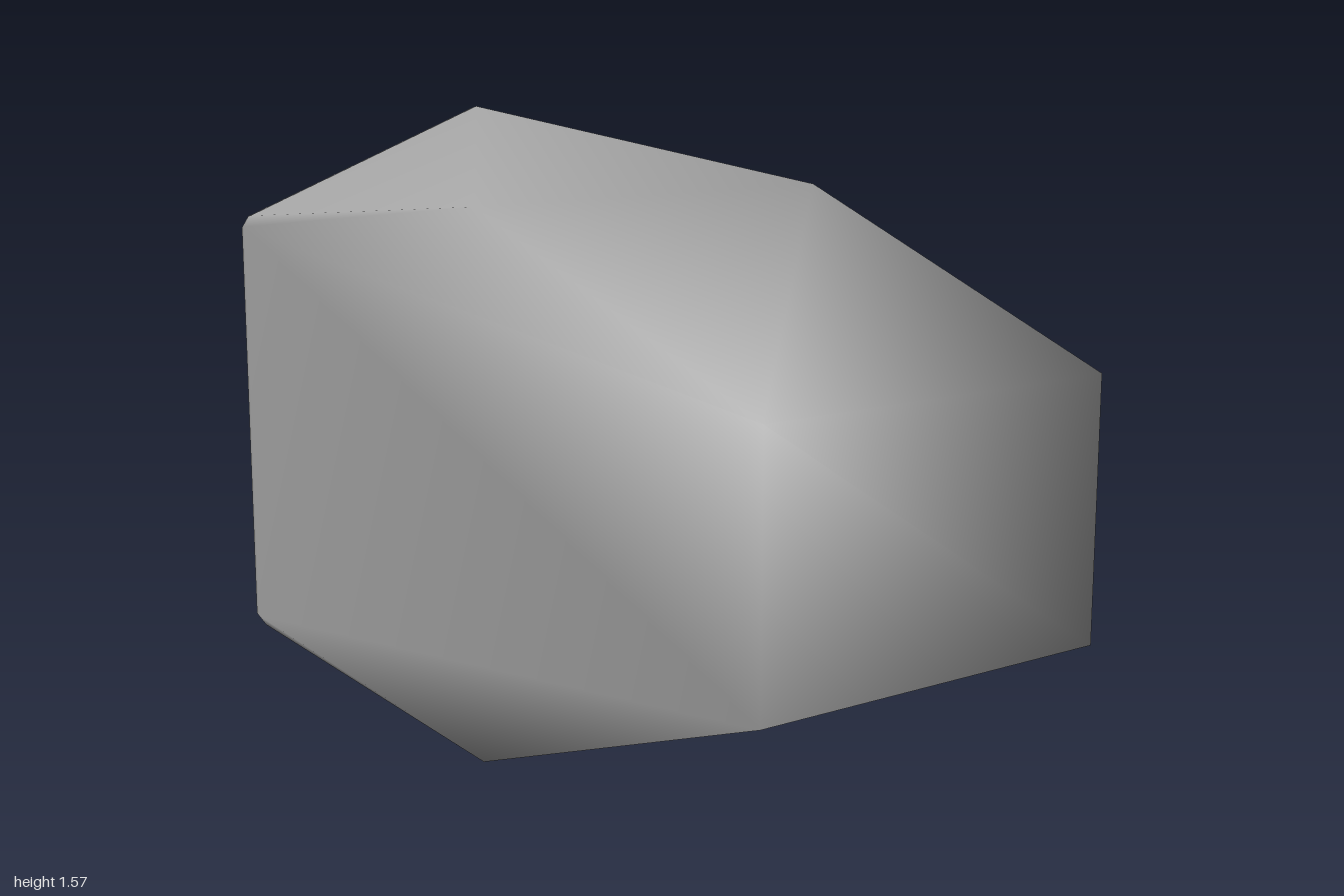
import * as THREE from 'three';

const CY = 0.7825; // mid height; the stone is symmetric above and below it

export function createModel() {
  const grey = new THREE.MeshStandardMaterial({ color: 0xa6a6a6 });
  grey.name = 'stone grey';
  const pos = [], idx = [];
  const add = (x, y, z) => pos.push(x, CY + y, z) / 3 - 1;
  const quad = (a, b, c, d) => idx.push(a, b, c, a, c, d);

  // Front face corners (F) and the widest section (M): top/bottom, left/right on screen
  const Mtl = add(-0.54, 0.628, 0.05), Mtr = add(0.425, 0.628, 0.05);
  const Ftr = add(0.405, 0.297, 1), Fbr = add(0.405, -0.297, 1);
  const Mbr = add(0.425, -0.628, 0.05), Mbl = add(-0.54, -0.628, 0.05);
  const Fbl = add(-0.52, -0.297, 1), Ftl = add(-0.52, 0.297, 1);
  quad(Ftl, Ftr, Mtr, Mtl);
  quad(Ftl, Fbl, Fbr, Ftr);
  quad(Mbl, Mbr, Fbr, Fbl);

  // Back hexagon, each corner cut into two points
  const hex = [[0.125, 0.79], [0.586, 0.18], [0.586, -0.18], [0.125, -0.79], [-0.586, -0.525], [-0.586, 0.525]]
    .map(([x, y]) => new THREE.Vector2(x, y));
  const outline = hex.flatMap((p, i) => [hex[(i + 5) % 6], hex[(i + 1) % 6]]
    .map((q) => q.clone().sub(p).setLength(0.02).add(p)));

  // Rounded rim running from the sides into the back face
  const steps = 4, R = 0.05, n = outline.length;
  const rows = [];
  for (let s = 0; s <= steps; s++) {
    const a = (s / steps) * Math.PI / 2;
    const k = 1 - R * (1 - Math.cos(a)) / 0.65;
    rows.push(outline.map((p) => add(p.x * k, p.y * k, -1 + R - R * Math.sin(a))));
  }
  for (let s = 0; s < steps; s++) {
    for (let i = 0; i < n; i++) {
      const j = (i + 1) % n;
      quad(rows[s][i], rows[s][j], rows[s + 1][j], rows[s + 1][i]);
    }
  }
  const cap = rows[steps];
  for (let i = 1; i < n - 1; i++) idx.push(cap[0], cap[i], cap[i + 1]);

  // Facets between the front block and the rim: 'i' steps the inner loop, 'o' the rim
  const inner = [Mtl, Mtr, Ftr, Fbr, Mbr, Mbl, Fbl, Ftl], rim = rows[0];
  let a = 0, b = 0;
  for (const step of 'ioooioiioooiooioiioo') {
    if (step === 'i') {
      idx.push(inner[a], inner[(a + 1) % 8], rim[b]);
      a = (a + 1) % 8;
    } else {
      idx.push(inner[a], rim[(b + 1) % n], rim[b]);
      b = (b + 1) % n;
    }
  }

  const geo = new THREE.BufferGeometry();
  geo.setAttribute('position', new THREE.Float32BufferAttribute(pos, 3));
  geo.setIndex(idx);
  geo.computeVertexNormals();
  const stone = new THREE.Mesh(geo, grey);
  stone.name = 'stone';
  const group = new THREE.Group();
  group.name = 'facetedStone';
  group.add(stone);
  return group;
}
